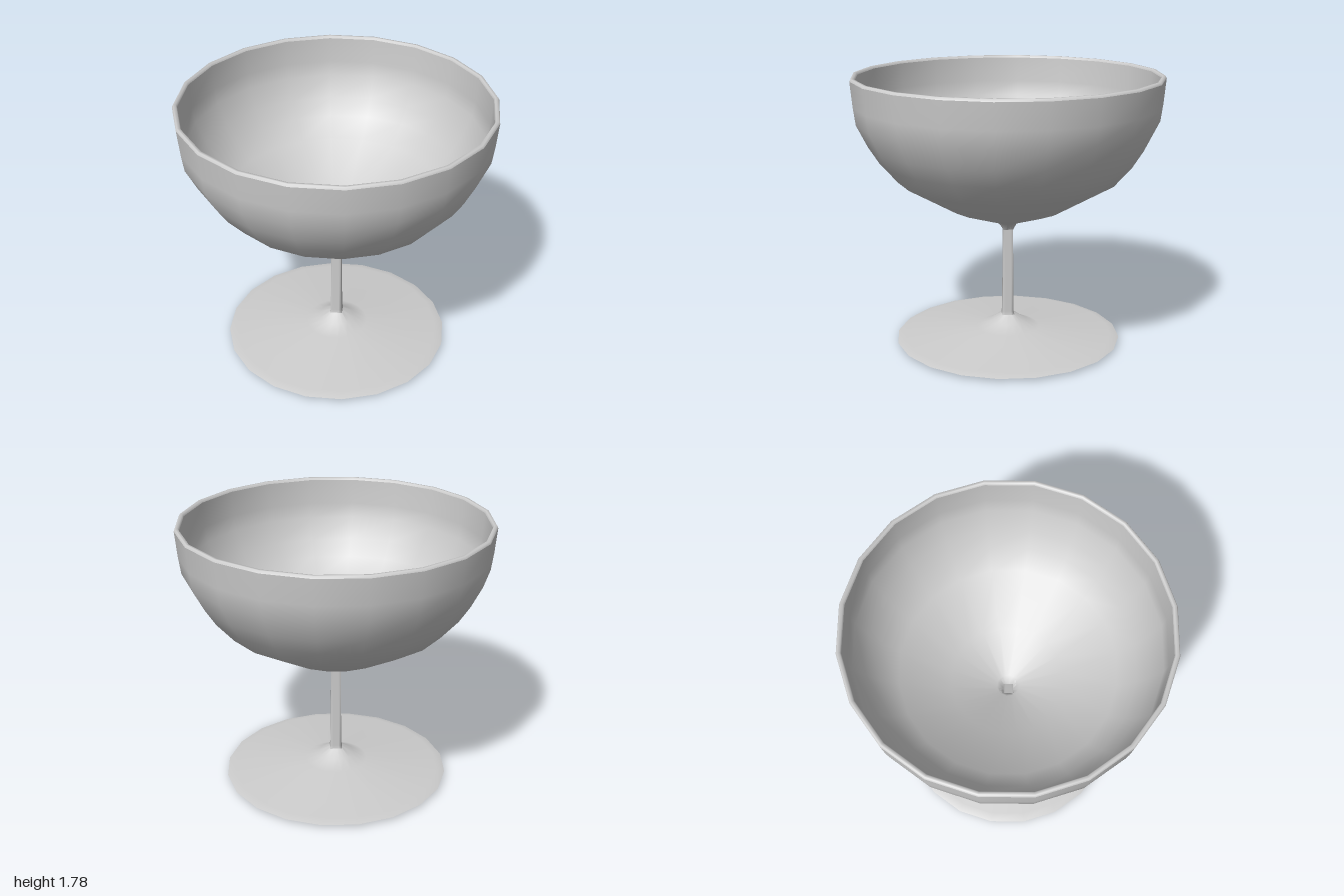
import * as THREE from 'three';

const SIDES = 20;

// Distance to the edge of a regular n-sided polygon at angle a (corner at a = 0).
function polygonRadius(r, n, a) {
  const step = (2 * Math.PI) / n;
  const local = ((a % step) + step) % step;
  return (r * Math.cos(step / 2)) / Math.cos(local - step / 2);
}

// Joins rings [radius, height, sides] into a smooth skin.
// Rising profiles face outward, falling profiles face inward.
function ringSkin(rings) {
  const positions = [];
  const index = [];
  rings.forEach(([r, y, n = SIDES], j) => {
    for (let i = 0; i < SIDES; i++) {
      const a = (i / SIDES) * 2 * Math.PI;
      const d = polygonRadius(r, n, a);
      positions.push(d * Math.sin(a), y, d * Math.cos(a));
      if (j === rings.length - 1) continue;
      const p = j * SIDES + i;
      const q = j * SIDES + ((i + 1) % SIDES);
      index.push(p, q, q + SIDES, p, q + SIDES, p + SIDES);
    }
  });
  const geometry = new THREE.BufferGeometry();
  geometry.setAttribute('position', new THREE.Float32BufferAttribute(positions, 3));
  geometry.setIndex(index);
  geometry.computeVertexNormals();
  return geometry;
}

export function createModel() {
  const group = new THREE.Group();
  group.name = 'stemmedGlass';
  const material = new THREE.MeshStandardMaterial({ color: 0xcccccc, side: THREE.DoubleSide });
  material.name = 'paleGrey';

  const parts = {
    // Wide foot, hollow underneath
    footUnderside: [[0.055, 0.155, 4], [0.09, 0.12, 10], [0.2, 0.065], [0.7, 0]],
    footEdge: [[0.7, 0], [0.745, 0.02]],
    footTop: [[0.745, 0.02], [0.69, 0.035], [0.21, 0.082], [0.12, 0.125, 10], [0.055, 0.17, 4]],
    // Slim four-sided open stem
    stem: [[0.06, 0.165, 4], [0.052, 0.19, 4], [0.045, 0.76, 4]],
    // Thin-walled bowl
    bowlOutside: [
      [0.045, 0.76, 4], [0.065, 0.805, 10], [0.38, 0.915], [0.716, 1.11], [0.83, 1.24],
      [0.9, 1.35], [0.97, 1.49], [0.985, 1.6], [1, 1.765],
    ],
    bowlRim: [[1, 1.765], [0.992, 1.78], [0.975, 1.78], [0.968, 1.765]],
    bowlInside: [
      [0.968, 1.765], [0.958, 1.6], [0.942, 1.5], [0.875, 1.36], [0.805, 1.255],
      [0.695, 1.135], [0.37, 0.94], [0.075, 0.825, 10], [0.045, 0.76, 4],
    ],
  };

  for (const [name, rings] of Object.entries(parts)) {
    const mesh = new THREE.Mesh(ringSkin(rings), material);
    mesh.name = name;
    group.add(mesh);
  }
  return group;
}
